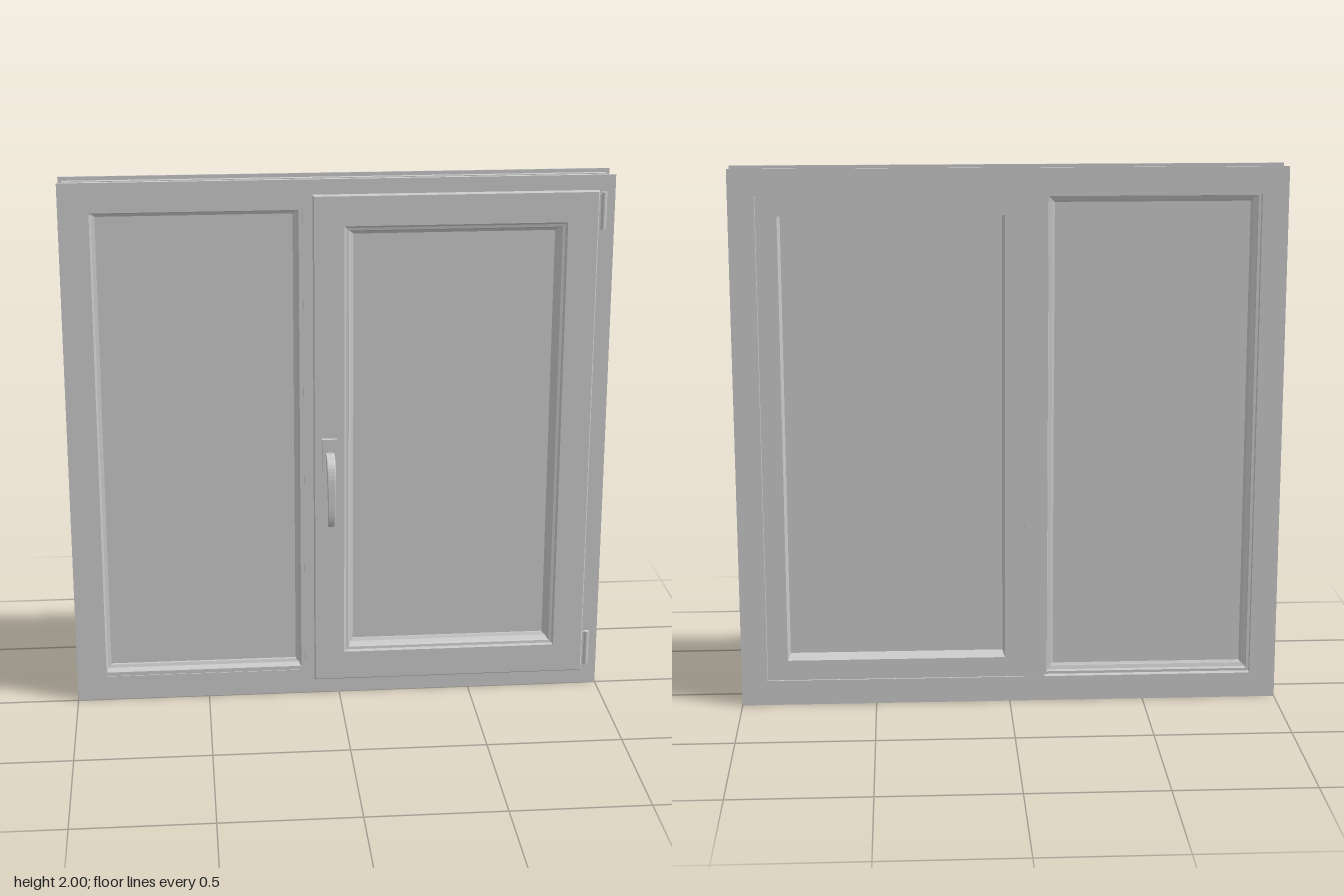
import * as THREE from 'three';

const grey = new THREE.MeshStandardMaterial({ color: 0xcccccc });

// Sweeps a closed profile of [inset, z] points (counter-clockwise) round a rectangle with mitred corners
function mitredFrame(x0, x1, y0, y1, profile) {
  const corners = [[x0, y0, 1, 1], [x1, y0, -1, 1], [x1, y1, -1, -1], [x0, y1, 1, -1]];
  const at = (k, j) => {
    const [x, y, dx, dy] = corners[k % 4];
    const [inset, z] = profile[j % profile.length];
    return [x + dx * inset, y + dy * inset, z];
  };
  const pos = [];
  for (let k = 0; k < 4; k++) {
    for (let j = 0; j < profile.length; j++) {
      const a = at(k, j), b = at(k, j + 1), c = at(k + 1, j + 1), d = at(k + 1, j);
      pos.push(...a, ...b, ...c, ...a, ...c, ...d);
    }
  }
  const geo = new THREE.BufferGeometry();
  geo.setAttribute('position', new THREE.Float32BufferAttribute(pos, 3));
  geo.computeVertexNormals();
  return geo;
}

function boxBetween(x0, x1, y0, y1, z0, z1) {
  return new THREE.BoxGeometry(x1 - x0, y1 - y0, z1 - z0)
    .translate((x0 + x1) / 2, (y0 + y1) / 2, (z0 + z1) / 2);
}

export function createModel() {
  const model = new THREE.Group();
  model.name = 'window';
  const add = (name, geo, parent = model) => {
    const mesh = new THREE.Mesh(geo, grey);
    mesh.name = name;
    parent.add(mesh);
    return mesh;
  };

  // Outer frame: thin lips front and back, grooved channel between them
  add('outerFrame', mitredFrame(-1, 1, 0, 2, [
    [0, -0.125], [0.095, -0.125], [0.095, 0], [0, 0], [0, -0.006], [0.014, -0.006],
    [0.014, -0.025], [0.02, -0.025], [0.02, -0.038], [0.014, -0.038],
    [0.014, -0.087], [0.02, -0.087], [0.02, -0.1], [0.014, -0.1],
    [0.014, -0.119], [0, -0.119],
  ]));
  add('mullion', boxBetween(-0.13, -0.055, 0.09, 1.91, -0.1248, -0.0002));

  // Fixed light: stepped bead and pane
  add('fixedBead', mitredFrame(-0.907, -0.128, 0.093, 1.907, [
    [0, -0.1], [0.012, -0.1], [0.014, -0.085], [0.028, -0.08], [0.028, -0.075],
    [0.036, -0.07], [0.036, -0.045], [0.036, -0.035], [0.024, -0.03],
    [0.022, -0.008], [0.017, -0.003], [0, -0.003],
  ]));
  add('fixedPane', boxBetween(-0.885, -0.15, 0.115, 1.885, -0.07, -0.045));

  // Opening sash: overlapping front flange, body set in the frame, glazing bead and pane
  const sash = new THREE.Group();
  sash.name = 'sash';
  model.add(sash);
  const [sx0, sx1, sy0, sy1] = [-0.095, 0.94, 0.06, 1.945];
  add('sashFrame', mitredFrame(sx0, sx1, sy0, sy1, [
    [0.037, -0.1245], [0.113, -0.1245], [0.12, -0.055], [0.12, 0.014],
    [0.113, 0.02], [0.004, 0.02], [0, 0.016], [0, 0.001], [0.037, 0.001],
  ]), sash);
  add('sashBead', mitredFrame(sx0, sx1, sy0, sy1, [
    [0.118, -0.032], [0.15, -0.032], [0.15, -0.026], [0.139, -0.02],
    [0.135, 0.006], [0.13, 0.012], [0.118, 0.014],
  ]), sash);
  add('sashPane', boxBetween(sx0 + 0.116, sx1 - 0.116, sy0 + 0.116, sy1 - 0.116, -0.056, -0.031), sash);

  // Handle: back plate, round collar and a curved grip cut from a side outline
  const handle = new THREE.Group();
  handle.name = 'handle';
  handle.position.set(-0.037, 0, 0);
  model.add(handle);
  add('handlePlate', boxBetween(-0.028, 0.028, 0.905, 1.035, 0.02, 0.035), handle);
  add('handleCollar', new THREE.CylinderGeometry(0.021, 0.021, 0.014, 24)
    .rotateX(Math.PI / 2).translate(0, 0.965, 0.04), handle);

  const side = new THREE.Shape();
  side.moveTo(0.04, 0.982);
  side.bezierCurveTo(0.1, 0.982, 0.121, 0.955, 0.122, 0.87);
  side.lineTo(0.122, 0.8);
  side.bezierCurveTo(0.121, 0.75, 0.112, 0.72, 0.09, 0.717);
  side.lineTo(0.09, 0.724);
  side.bezierCurveTo(0.106, 0.729, 0.111, 0.75, 0.112, 0.8);
  side.lineTo(0.11, 0.87);
  side.bezierCurveTo(0.107, 0.925, 0.095, 0.949, 0.04, 0.949);
  side.closePath();
  const grip = new THREE.ExtrudeGeometry(side, {
    depth: 0.024, curveSegments: 12, bevelThickness: 0.004, bevelSize: 0.003, bevelSegments: 3,
  });
  // Outline lies in z-y, so turn its x axis to +z; the lower end is narrowed
  grip.rotateY(-Math.PI / 2).translate(0.012, 0, 0);
  const p = grip.attributes.position;
  for (let i = 0; i < p.count; i++) {
    const t = THREE.MathUtils.clamp((p.getY(i) - 0.715) / 0.2, 0, 1);
    p.setX(i, p.getX(i) * (0.75 + 0.25 * t));
  }
  grip.computeVertexNormals();
  add('handleGrip', grip, handle);

  // Hinges on the sash's outer edge
  for (const y of [0.152, 1.87]) {
    const hinge = new THREE.Group();
    hinge.name = 'hinge';
    hinge.position.set(0.958, y, 0);
    model.add(hinge);
    add('hingeBarrel', new THREE.CylinderGeometry(0.011, 0.011, 0.136, 16).translate(0, 0, 0.006), hinge);
    add('hingeLeaf', boxBetween(-0.02, 0, -0.064, 0.064, 0.001, 0.01), hinge);
  }
  return model;
}
